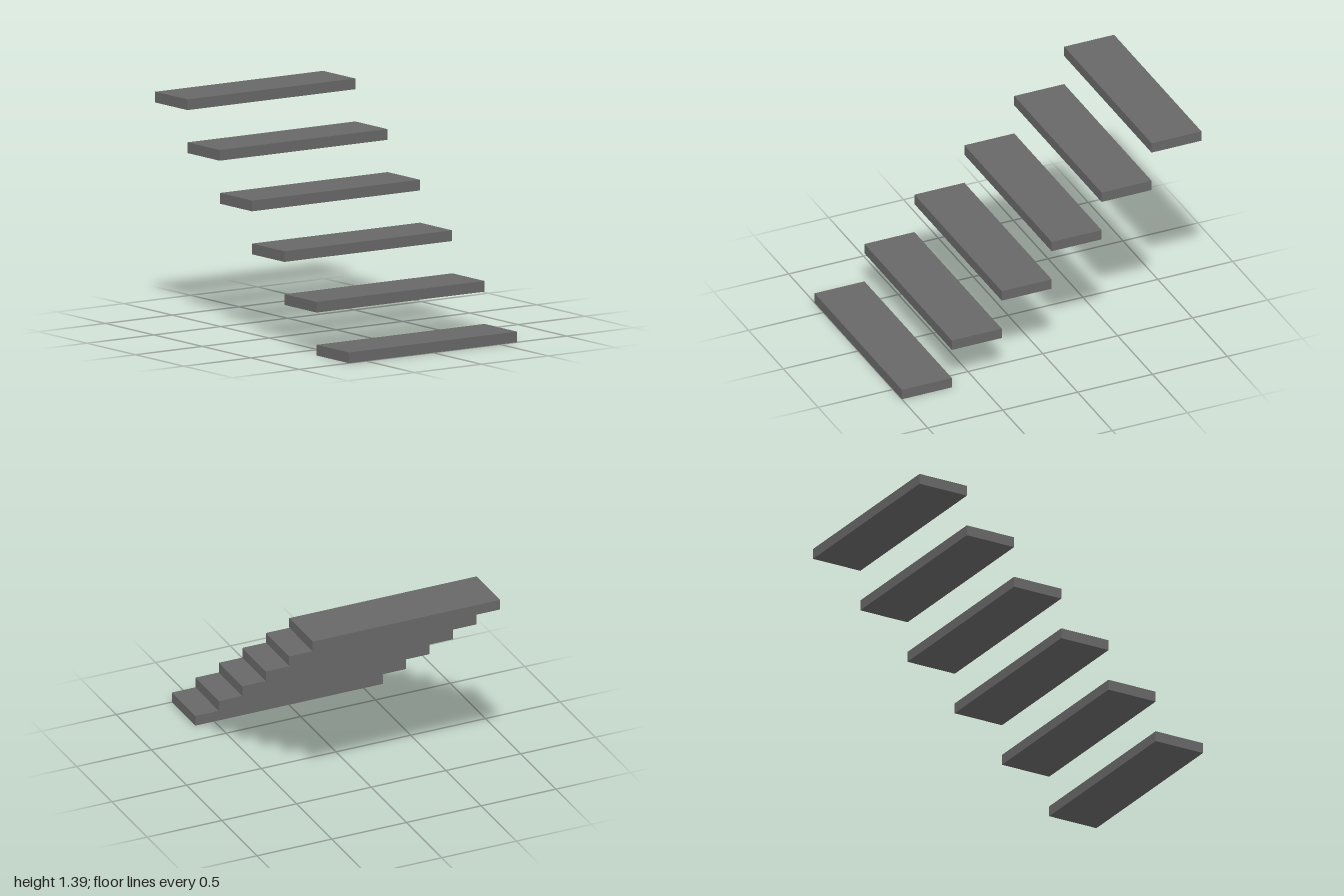
import * as THREE from 'three';

const STEPS = 6;
const WIDTH = 1.255, THICKNESS = 0.066, DEPTH = 2 / STEPS, RISE = 0.264;

export function createModel() {
  const group = new THREE.Group();
  group.name = 'floatingStaircase';

  const stone = new THREE.MeshStandardMaterial({ color: 0x686868 });
  stone.name = 'darkGrey';

  // Floating treads, climbing from the front (+z) to the back (-z)
  const treadGeometry = new THREE.BoxGeometry(WIDTH, THICKNESS, DEPTH);
  for (let i = 0; i < STEPS; i++) {
    const tread = new THREE.Mesh(treadGeometry, stone);
    tread.name = `tread${i + 1}`;
    tread.position.set(0, THICKNESS / 2 + i * RISE, 1 - DEPTH * (i + 0.5));
    group.add(tread);
  }
  return group;
}
